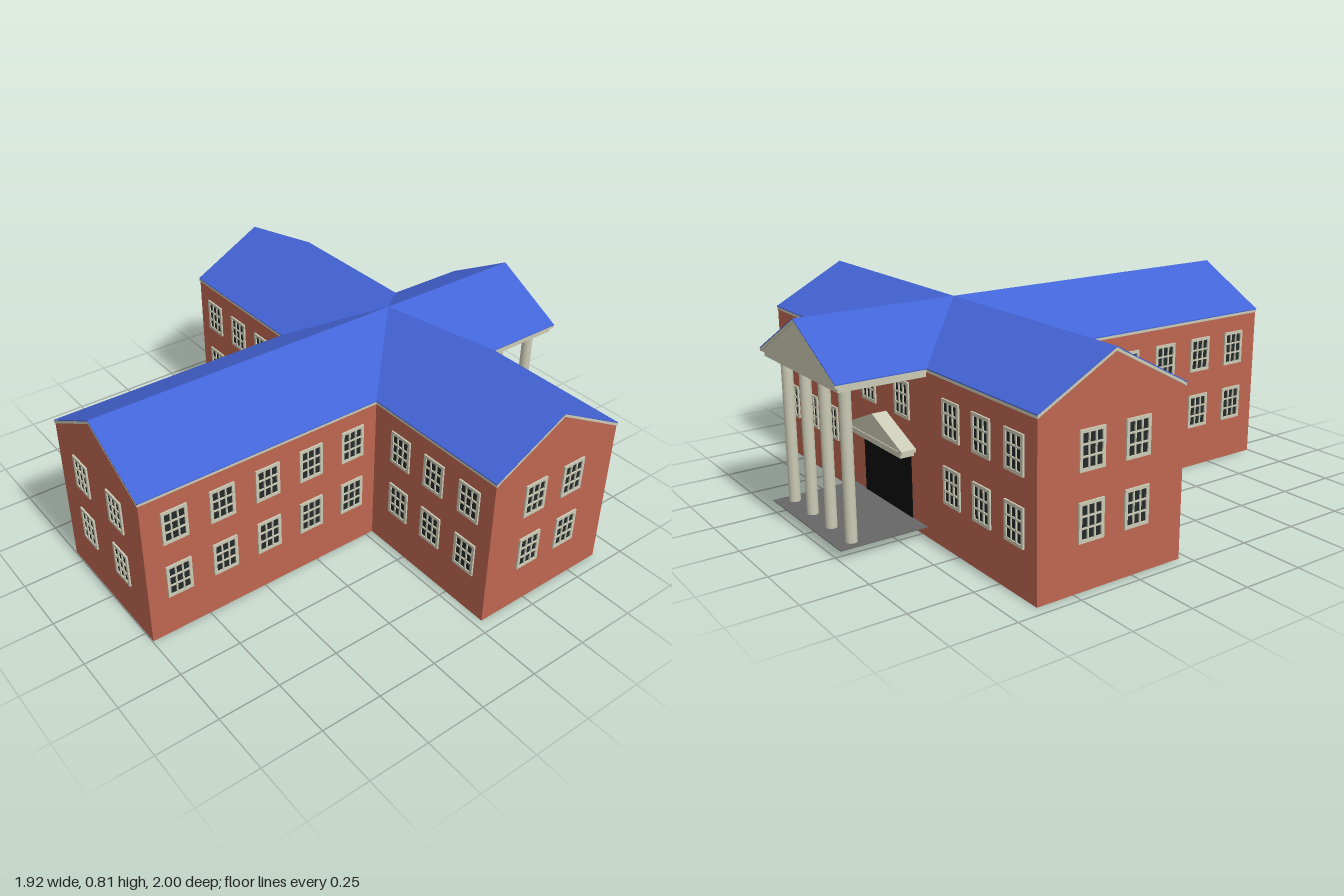
import * as THREE from 'three';

const mat = (color) => new THREE.MeshStandardMaterial({ color });
const BRICK = mat(0xbd6650), ROOF = mat(0x4364d6), TRIM = mat(0xcbcab5);
const GLASS = mat(0x23292a), DOOR = mat(0x0b0d0e), PAVING = mat(0x666666);
PAVING.side = THREE.DoubleSide;

// Plan: two crossing gabled bars
const CX = -0.005, CZ = -0.34, HALF = 0.307;
const EAVE = 0.63, APEX = 0.797;

function add(parent, name, geometry, material, x = 0, y = 0, z = 0) {
  const mesh = new THREE.Mesh(geometry, material);
  mesh.name = name;
  mesh.position.set(x, y, z);
  parent.add(mesh);
  return mesh;
}

function extrude(points, depth) {
  const shape = new THREE.Shape(points.map(([x, y]) => new THREE.Vector2(x, y)));
  return new THREE.ExtrudeGeometry(shape, { depth, bevelEnabled: false });
}

// Inverted V strip of a given thickness, closed along its two eaves
const chevron = (half, eave, apex, thick, depth) => extrude([
  [-half, eave], [0, apex], [half, eave],
  [half, eave + thick], [0, apex + thick], [-half, eave + thick],
], depth);

// Gabled bar running along local z from z0 to z1
function gabledBar(name, z0, z1, wallStart) {
  const bar = new THREE.Group();
  bar.name = name;
  const outline = [[-HALF, 0], [HALF, 0], [HALF, EAVE], [0, APEX], [-HALF, EAVE]];
  add(bar, 'brickWalls', extrude(outline, z1 - 0.003 - wallStart), BRICK, 0, 0, wallStart);
  add(bar, 'eaveTrim', chevron(HALF + 0.002, EAVE, APEX, 0.011, z1 - z0), TRIM, 0, 0, z0);
  add(bar, 'roof', chevron(HALF + 0.003, EAVE + 0.011, APEX + 0.011, 0.004, z1 - z0), ROOF, 0, 0, z0);
  return bar;
}

// Window: one frame with a 3 by 3 grid of openings and a dark pane
const WIN_W = 0.105, WIN_H = 0.142;
function frameGeometry() {
  const rect = (Type, x, y, w, h) => new Type([[x, y], [x + w, y], [x + w, y + h], [x, y + h]]
    .map(([a, b]) => new THREE.Vector2(a, b)));
  const shape = rect(THREE.Shape, -WIN_W / 2, -WIN_H / 2, WIN_W, WIN_H);
  const rim = 0.012, bar = 0.006;
  const w = (WIN_W - 2 * rim - 2 * bar) / 3, h = (WIN_H - 2 * rim - 2 * bar) / 3;
  for (let i = 0; i < 3; i++) for (let j = 0; j < 3; j++) {
    shape.holes.push(rect(THREE.Path, -WIN_W / 2 + rim + i * (w + bar), -WIN_H / 2 + rim + j * (h + bar), w, h));
  }
  return new THREE.ExtrudeGeometry(shape, { depth: 0.007, bevelEnabled: false });
}

export function createModel() {
  const model = new THREE.Group();
  model.name = 'building';

  // Long wing along z and cross wing along x
  const longWing = gabledBar('longWing', -1, 1, -0.4);
  longWing.position.x = CX;
  const crossWing = gabledBar('crossWing', -0.955, 0.955, -0.952);
  crossWing.rotation.y = Math.PI / 2;
  crossWing.position.set(CX, 0, CZ);
  model.add(longWing, crossWing);

  // Windows, in two storeys on every wall
  const frame = frameGeometry();
  const pane = new THREE.PlaneGeometry(WIN_W - 0.01, WIN_H - 0.01);
  const windows = new THREE.Group();
  windows.name = 'windows';
  model.add(windows);
  function addWindow(x, y, z, turn) {
    const unit = new THREE.Group();
    unit.name = 'window';
    add(unit, 'windowFrame', frame, TRIM);
    add(unit, 'windowPane', pane, GLASS, 0, 0, 0.002);
    unit.position.set(x, y, z);
    unit.rotation.y = turn;
    windows.add(unit);
  }
  for (const y of [0.247, 0.492]) {
    for (const dx of [-0.126, 0.126]) {
      addWindow(CX + dx, y, 0.997, 0);
      if (y > 0.4) addWindow(CX + dx, y, CZ - HALF, Math.PI);
    }
    for (const side of [-1, 1]) {
      const turn = side * Math.PI / 2;
      for (const dx of [0.46, 0.645, 0.832]) {
        addWindow(CX + side * dx, y, CZ + HALF, 0);
        addWindow(CX + side * dx, y, CZ - HALF, Math.PI);
      }
      for (const z of [0.866, 0.67, 0.475, 0.279, 0.083]) addWindow(CX + side * HALF, y, z, turn);
      for (const z of [-0.239, -0.432]) addWindow(CX + side * 0.952, y, z, turn);
    }
  }

  // Rear portico: pediment, ceiling with rim beams, columns, paving
  const portico = new THREE.Group();
  portico.name = 'portico';
  portico.position.x = CX;
  model.add(portico);
  add(portico, 'pediment', extrude([[-HALF, EAVE], [HALF, EAVE], [0, APEX]], 0.01), TRIM, 0, 0, -0.995);
  add(portico, 'ceiling', new THREE.BoxGeometry(0.6, 0.008, 0.345), TRIM, 0, 0.631, -0.818);
  add(portico, 'rearBeam', new THREE.BoxGeometry(0.6, 0.018, 0.05), TRIM, 0, 0.621, -0.962);
  for (const side of [-1, 1]) {
    add(portico, 'sideBeam', new THREE.BoxGeometry(0.04, 0.018, 0.29), TRIM, side * 0.28, 0.621, -0.792);
  }
  const column = new THREE.CylinderGeometry(0.022, 0.022, 0.59, 20);
  for (const x of [-0.235, -0.078, 0.078, 0.235]) add(portico, 'column', column, TRIM, x, 0.325, -0.93);
  add(portico, 'paving', new THREE.BoxGeometry(0.57, 0.003, 0.352), PAVING, 0, 0.04, -0.822);

  // Entrance door and its small gabled canopy
  add(portico, 'door', new THREE.BoxGeometry(0.36, 0.28, 0.006), DOOR, 0, 0.152, -0.647);
  const canopy = new THREE.Group();
  canopy.name = 'doorCanopy';
  portico.add(canopy);
  add(canopy, 'canopyBase', new THREE.BoxGeometry(0.40, 0.022, 0.058), TRIM, 0, 0.302, -0.675);
  add(canopy, 'canopyGable', extrude([[-0.2, 0.312], [0.2, 0.312], [0, 0.4]], 0.052), TRIM, 0, 0, -0.7);
  add(canopy, 'canopyRoof', chevron(0.215, 0.308, 0.398, 0.013, 0.062), TRIM, 0, 0, -0.708);

  return model;
}
